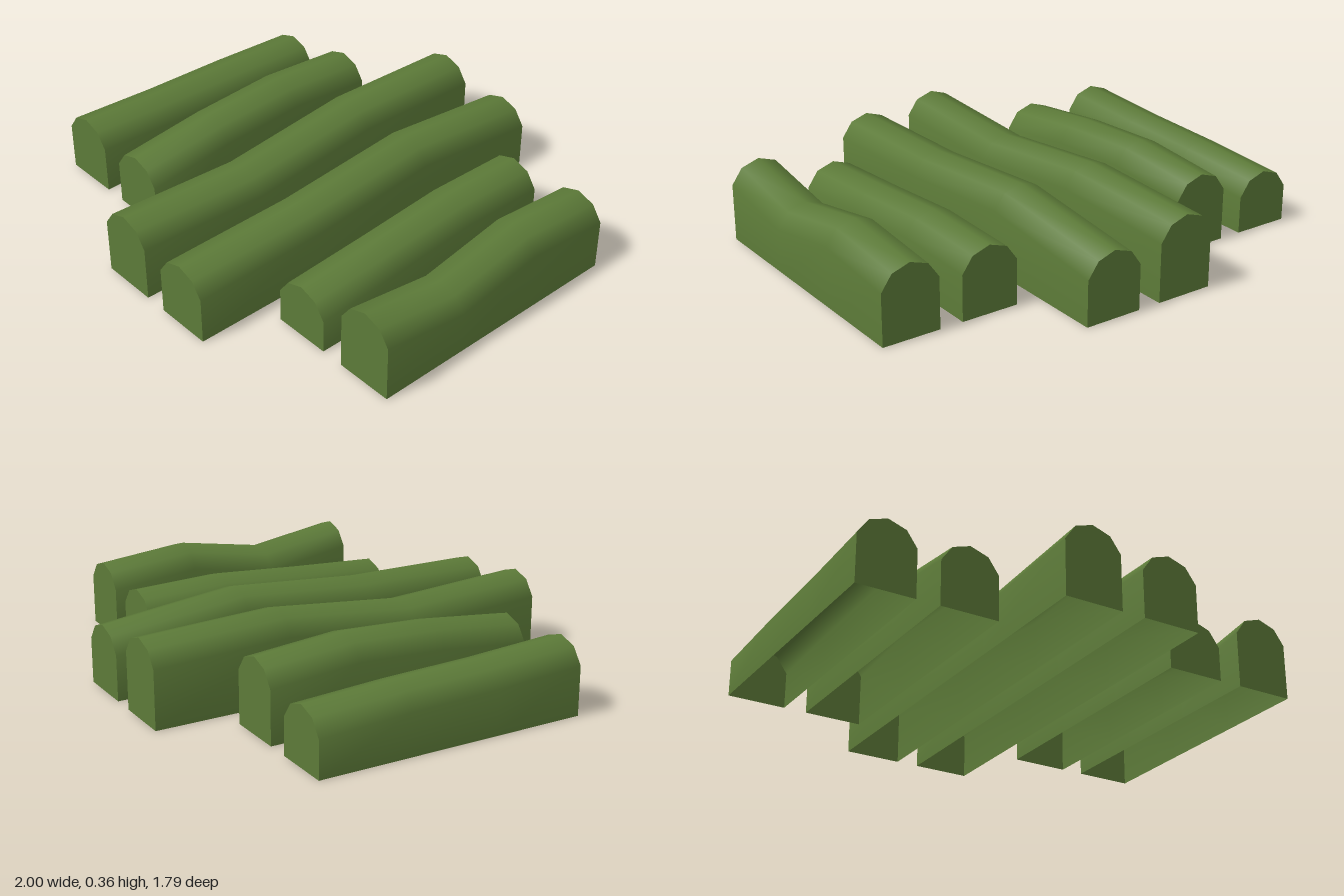
import * as THREE from 'three';

const WIDTH = 0.25;

// Cross-section of a row: straight walls under a faceted rounded top, open below
function section(h) {
  const w = WIDTH / 2;
  return [[-w, 0], [-w, h - 0.092], [-0.078, h - 0.026], [0, h], [0.078, h - 0.026], [w, h - 0.092], [w, 0]];
}

// Skin lofted through evenly spaced sections from front (+z) to back (-z)
function bodyGeometry(heights, halfLength) {
  const positions = [], index = [], n = 7;
  heights.forEach((h, i) => {
    const z = halfLength * (1 - (2 * i) / (heights.length - 1));
    for (const [x, y] of section(h)) positions.push(x, y, z);
  });
  for (let i = 0; i < heights.length - 1; i++) {
    for (let j = 0; j < n - 1; j++) {
      const a = i * n + j, b = a + 1, c = a + n, d = c + 1;
      index.push(a, b, c, b, d, c);
    }
  }
  const geometry = new THREE.BufferGeometry();
  geometry.setAttribute('position', new THREE.Float32BufferAttribute(positions, 3));
  geometry.setIndex(index);
  geometry.computeVertexNormals();
  return geometry;
}

// Flat end wall
function capGeometry(h) {
  return new THREE.ShapeGeometry(new THREE.Shape(section(h).map(([x, y]) => new THREE.Vector2(x, y))));
}

export function createModel() {
  const model = new THREE.Group();
  model.name = 'hedgeRows';
  const leaf = new THREE.MeshStandardMaterial({ color: 0x5c7a38, side: THREE.DoubleSide });

  // Ridge heights of each row, front to back
  const rows = [
    { x: -0.875, half: 0.587, heights: [0.30, 0.28, 0.27, 0.25] },
    { x: -0.525, half: 0.587, heights: [0.285, 0.33, 0.35, 0.318] },
    { x: -0.175, half: 0.895, heights: [0.33, 0.30, 0.362, 0.34] },
    { x: 0.175, half: 0.895, heights: [0.295, 0.303, 0.352, 0.285] },
    { x: 0.525, half: 0.587, heights: [0.24, 0.265, 0.295, 0.285] },
    { x: 0.875, half: 0.587, heights: [0.335, 0.275, 0.345, 0.31] },
  ];

  rows.forEach(({ x, half, heights }, i) => {
    const row = new THREE.Group();
    row.name = `hedgeRow${i + 1}`;
    row.position.x = x;

    const body = new THREE.Mesh(bodyGeometry(heights, half), leaf);
    body.name = 'hedgeBody';

    const front = new THREE.Mesh(capGeometry(heights[0]), leaf);
    front.name = 'frontEnd';
    front.position.z = half;

    const back = new THREE.Mesh(capGeometry(heights[heights.length - 1]), leaf);
    back.name = 'backEnd';
    back.position.z = -half;
    back.rotation.y = Math.PI;

    row.add(body, front, back);
    model.add(row);
  });
  return model;
}
